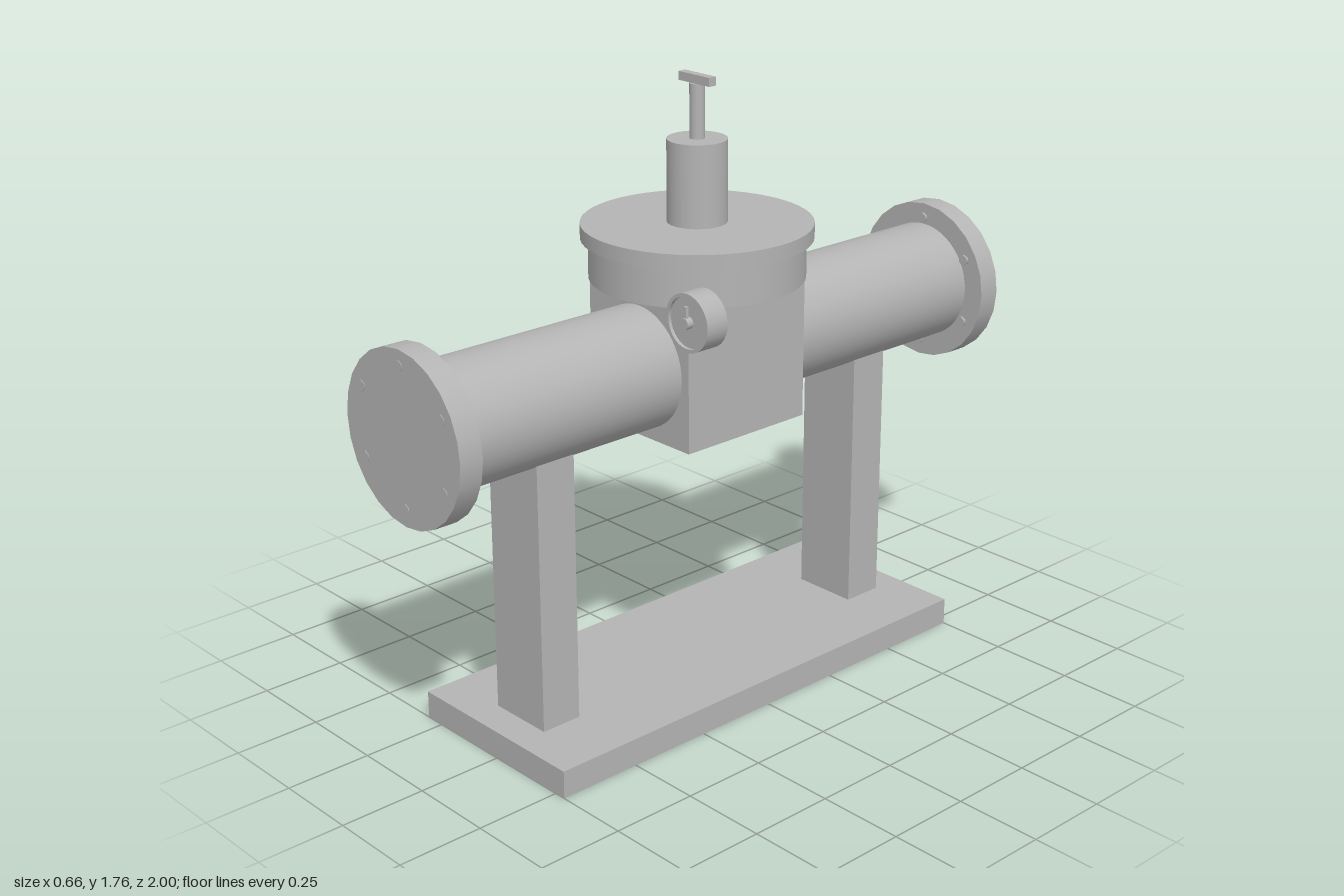
import * as THREE from 'three';

export function createModel() {
  const model = new THREE.Group();
  model.name = 'pressureRegulator';
  model.position.x = -0.012;

  const steel = new THREE.MeshStandardMaterial({ color: 0xb4b4b4 });
  steel.name = 'steel grey';

  const add = (name, geometry, x, y, z, parent = model) => {
    const mesh = new THREE.Mesh(geometry, steel);
    mesh.name = name;
    mesh.position.set(x, y, z);
    parent.add(mesh);
    return mesh;
  };
  const box = (name, w, h, d, x, y, z, parent) =>
    add(name, new THREE.BoxGeometry(w, h, d), x, y, z, parent);
  // upright cylinder between two heights
  const column = (name, r, y0, y1, sides = 48) =>
    add(name, new THREE.CylinderGeometry(r, r, y1 - y0, sides), 0, (y0 + y1) / 2, 0);
  // cylinder along z between two depths
  const axle = (name, r, z0, z1, x, y, sides = 48, parent = model) =>
    add(name, new THREE.CylinderGeometry(r, r, z1 - z0, sides).rotateX(Math.PI / 2),
      x, y, (z0 + z1) / 2, parent);

  // stand
  box('basePlate', 0.594, 0.08, 1.5, 0, 0.04, 0);
  for (const s of [1, -1]) box('supportLeg', 0.2, 0.78, 0.124, 0, 0.47, s * 0.594);

  // valve body and through pipe
  box('valveBody', 0.4, 0.4, 0.432, 0, 0.995, 0);
  axle('pipe', 0.173, -0.99, 0.99, 0, 0.995);

  // bolted end flanges
  for (const s of [1, -1]) {
    const end = new THREE.Group();
    end.name = s > 0 ? 'frontFlange' : 'backFlange';
    end.rotation.y = s > 0 ? 0 : Math.PI;
    model.add(end);
    axle('flange', 0.238, 0.929, 0.998, 0, 0.993, 24, end);
    for (let i = 0; i < 6; i++) {
      const a = Math.PI / 6 + i * Math.PI / 3;
      axle('flangeBolt', 0.016, 0.921, 1,
        Math.cos(a) * 0.192, 0.995 + Math.sin(a) * 0.192, 6, end);
    }
  }

  // bonnet, spring housing and T-handle
  column('bonnet', 0.298, 1.207, 1.318);
  column('bonnetLid', 0.319, 1.318, 1.36);
  column('springHousing', 0.083, 1.36, 1.59);
  column('stem', 0.021, 1.59, 1.74, 16);
  box('handleBar', 0.12, 0.024, 0.025, 0, 1.752, 0);

  // pressure gauge
  const gauge = new THREE.Group();
  gauge.name = 'pressureGauge';
  gauge.position.set(0.257, 1.194, 0);
  model.add(gauge);
  axle('gaugeCase', 0.08, 0.205, 0.266, 0, 0, 32, gauge);
  const rim = new THREE.Shape().absarc(0, 0, 0.08, 0, Math.PI * 2);
  rim.holes.push(new THREE.Path().absarc(0, 0, 0.07, 0, Math.PI * 2, true));
  add('gaugeRim', new THREE.ExtrudeGeometry(rim,
    { depth: 0.01, bevelEnabled: false, curveSegments: 32 }), 0, 0, 0.266, gauge);
  axle('gaugeHub', 0.016, 0.266, 0.286, 0, 0, 16, gauge);
  box('gaugeNeedle', 0.01, 0.046, 0.009, 0, 0.023, 0.278, gauge);

  return model;
}
